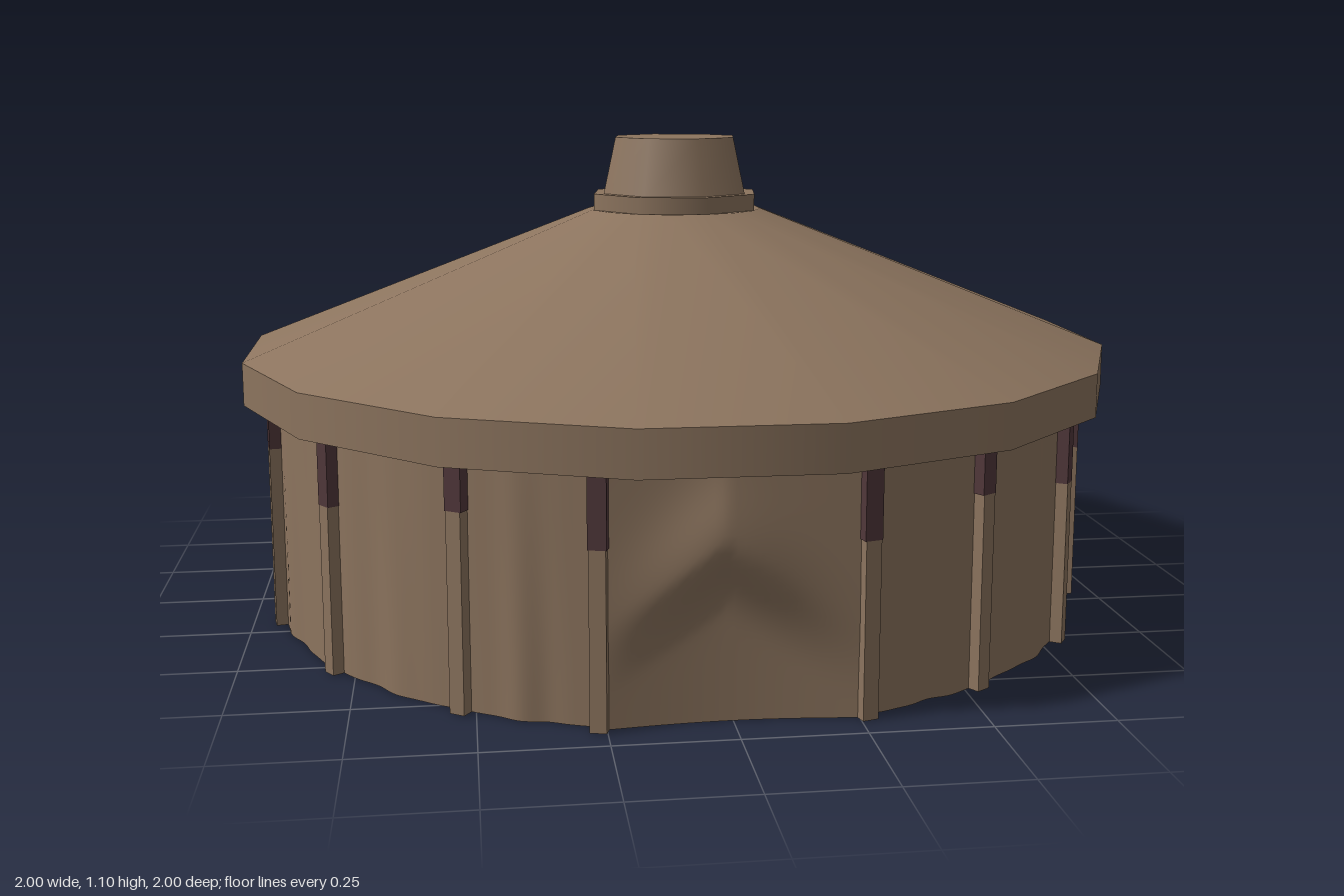
import * as THREE from 'three';

export function createModel() {
  const group = new THREE.Group();
  const canvas = new THREE.MeshStandardMaterial({ color: 0x8c745e, side: THREE.DoubleSide });
  canvas.name = 'tan canvas';
  const wood = new THREE.MeshStandardMaterial({ color: 0x50373a });
  wood.name = 'dark wood';

  const add = (name, geometry, material, parent = group) => {
    const mesh = new THREE.Mesh(geometry, material);
    mesh.name = name;
    parent.add(mesh);
    return mesh;
  };

  // Sixteen-sided roof shell; each profile step is its own lathe so creases stay sharp
  const corner = 1 / Math.cos(Math.PI / 16);
  const profile = [[0.925, 0.515], [1, 0.515], [1, 0.612], [0.2, 0.932], [0, 0.932]];
  const lining = [[0, 0.85], [0.2, 0.85], [0.925, 0.557], [0.925, 0.515]];
  const roof = new THREE.Group();
  roof.name = 'roof';
  group.add(roof);
  const shell = (names, points) => names.forEach((name, i) => {
    const pair = [points[i], points[i + 1]].map(([r, y]) => new THREE.Vector2(r * corner, y));
    add(name, new THREE.LatheGeometry(pair, 16, Math.PI / 16), canvas, roof);
  });
  shell(['eaveUnderside', 'eaveBand', 'roofSlope', 'roofTop'], profile);
  shell(['liningTop', 'roofLining', 'eaveInside'], lining);

  // Eight-sided collar and tapered crown, turned slightly off axis
  const turn = THREE.MathUtils.degToRad(14);
  const collar = add('crownCollar', new THREE.CylinderGeometry(0.203, 0.203, 0.04, 8), canvas);
  collar.position.y = 0.95;
  collar.rotation.y = turn;
  const crown = add('crown', new THREE.CylinderGeometry(0.149, 0.179, 0.132, 8), canvas);
  crown.position.y = 1.035;
  crown.rotation.y = turn;

  // Post angles around the tent, with the two front posts spread for the doorway
  const step = Math.PI / 8;
  const doorAngle = 0.279;
  const angles = [];
  for (let i = 0; i < 16; i++) angles.push(step * (i + 0.5));
  angles[0] = doorAngle;
  angles[15] = 2 * Math.PI - doorAngle;

  // Posts: dark wood above, canvas sleeve below; a few sleeves reach higher
  const tallSleeves = [1, 5, 7, 12, 14];
  angles.forEach((a, i) => {
    const post = new THREE.Group();
    post.name = 'post' + (i + 1);
    const r = i % 15 === 0 ? 0.958 : 0.952;
    post.position.set(r * Math.sin(a), 0, r * Math.cos(a));
    post.rotation.y = a;
    group.add(post);
    const top = tallSleeves.includes(i) ? 0.415 : 0.365;
    add('postTop', new THREE.BoxGeometry(0.038, 0.53 - top, 0.034), wood, post)
      .position.y = (0.53 + top) / 2;
    add('postSleeve', new THREE.BoxGeometry(0.034, top, 0.034), canvas, post)
      .position.y = top / 2;
  });

  // Wall cloth: gently folded panels from post to post
  for (let i = 0; i < 15; i++) {
    const geometry = new THREE.PlaneGeometry(1, 0.53, 32, 5);
    const p = geometry.attributes.position;
    for (let k = 0; k < p.count; k++) {
      const u = p.getX(k) + 0.5;
      const y = p.getY(k) + 0.265;
      const a = THREE.MathUtils.lerp(angles[i], angles[i + 1], u);
      const fold = Math.sin(u * 9 + i * 2.1) * 0.7 + Math.sin(u * 19 + i * 1.3 + y * 2) * 0.3;
      const r = 0.943 + 0.008 * fold * Math.sin(Math.PI * u) * (1 - 1.2 * y);
      p.setXYZ(k, r * Math.sin(a), y, r * Math.cos(a));
    }
    geometry.computeVertexNormals();
    add('wallPanel' + (i + 1), geometry, canvas);
  }

  // Door flap: a gathered pinch, with the cloth draping back beneath it
  const door = new THREE.PlaneGeometry(0.52, 0.53, 36, 30);
  const p = door.attributes.position;
  for (let k = 0; k < p.count; k++) {
    const x = p.getX(k);
    const y = p.getY(k) + 0.265;
    const d = y - 0.38 + 0.7 * Math.abs(x + 0.02);
    const pinch = 0.03 * Math.exp(-(((x + 0.02) / 0.15) ** 2)) * Math.exp(-((d / (d < 0 ? 0.08 : 0.12)) ** 2));
    const drape = 0.018 * THREE.MathUtils.smoothstep(-d, 0, 0.16) * Math.cos(Math.PI * x / 0.52);
    p.setXYZ(k, x, y, 0.922 + pinch - drape);
  }
  door.computeVertexNormals();
  add('doorFlap', door, canvas);

  return group;
}
